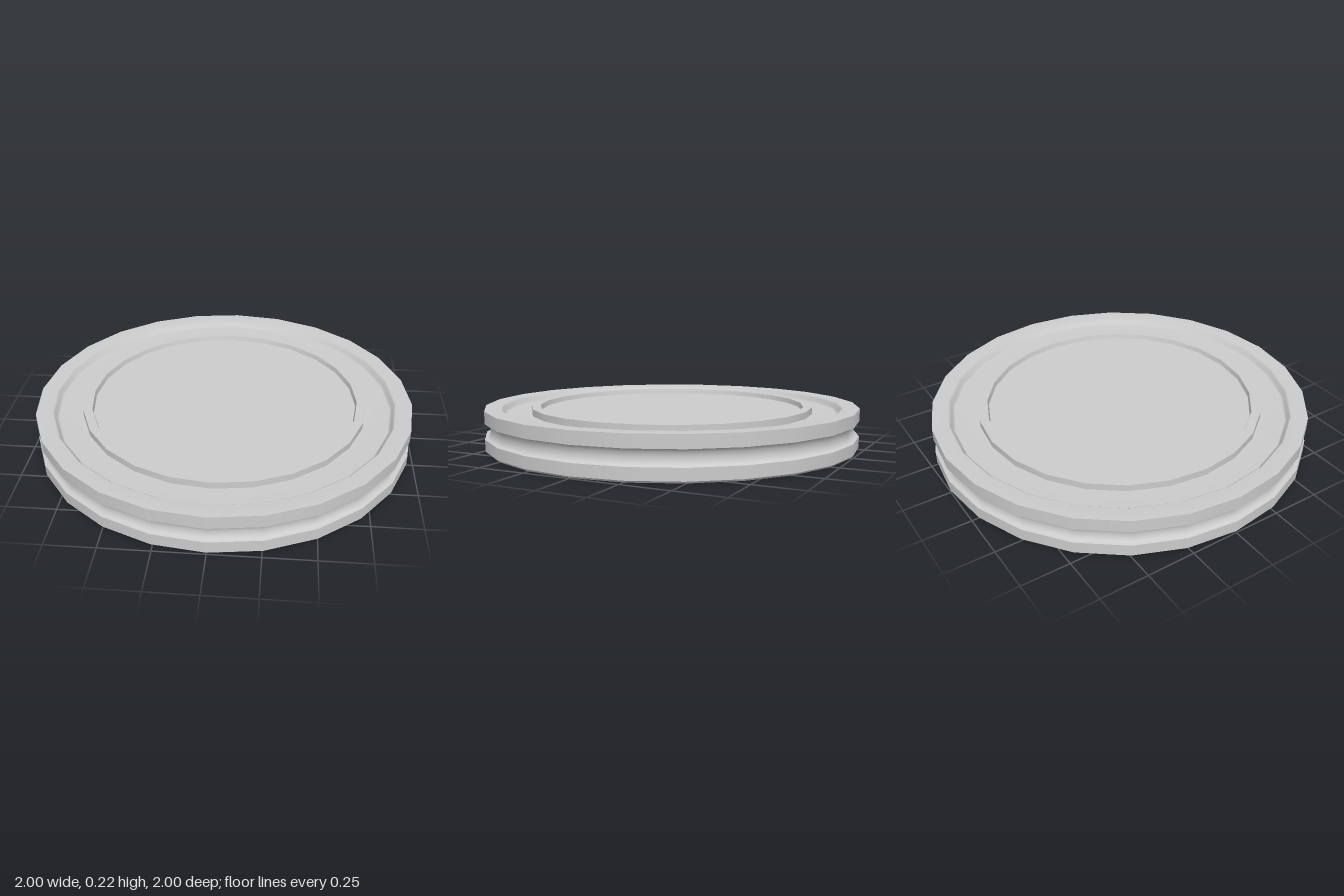
import * as THREE from 'three';

const SIDES = 24;

export function createModel() {
  const group = new THREE.Group();
  const material = new THREE.MeshStandardMaterial({ color: 0xcccccc });

  // Each band is a smooth revolved strip; edges between bands stay sharp.
  const band = (name, profile) => {
    const points = profile.map(([r, y]) => new THREE.Vector2(r, y));
    const mesh = new THREE.Mesh(new THREE.LatheGeometry(points, SIDES), material);
    mesh.name = name;
    group.add(mesh);
  };

  // Underside and lower flange
  band('underside', [[0, 0], [0.99, 0]]);
  band('bottomBevel', [[0.99, 0], [1, 0.01]]);
  band('lowerFlange', [[1, 0.01], [1, 0.07]]);

  // Rounded groove around the edge
  band('edgeGroove', [
    [1, 0.07], [0.983, 0.075], [0.973, 0.09], [0.97, 0.11],
    [0.973, 0.13], [0.983, 0.145], [1, 0.15],
  ]);

  // Upper flange and raised rim, falling to the sunken tray
  band('upperFlange', [[1, 0.15], [1, 0.215]]);
  band('rimTop', [
    [1, 0.215], [0.915, 0.215], [0.905, 0.207], [0.895, 0.188], [0.885, 0.18], [0.755, 0.18],
  ]);

  // Raised ring around the centre panel
  band('ringOuterWall', [[0.755, 0.18], [0.755, 0.215]]);
  band('ringTop', [[0.755, 0.215], [0.708, 0.215]]);
  band('ringInnerWall', [[0.708, 0.215], [0.702, 0.19]]);
  band('centrePanel', [[0.702, 0.19], [0, 0.19]]);

  return group;
}
